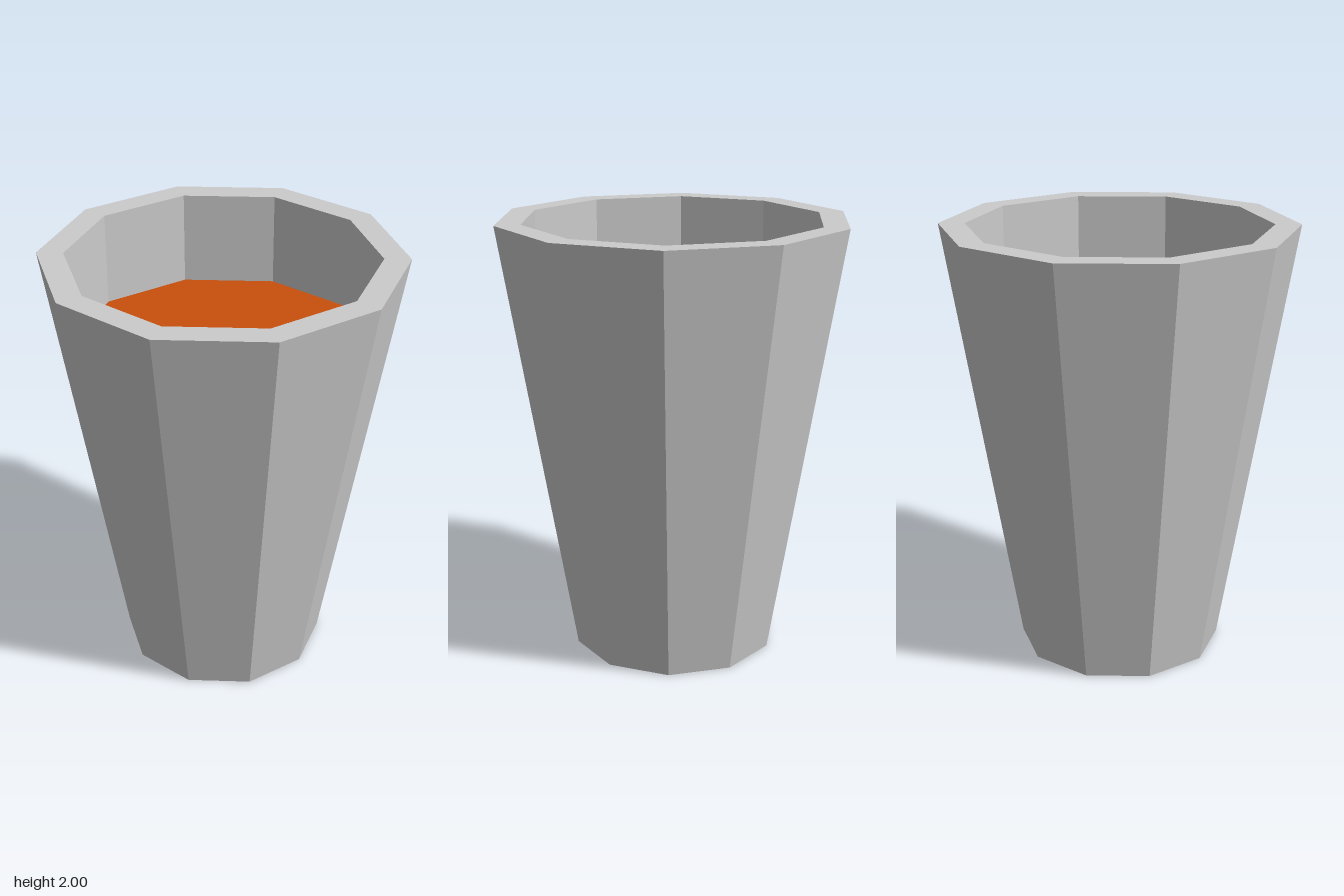
import * as THREE from 'three';

const SIDES = 10;

export function createModel() {
  const model = new THREE.Group();

  // Tapered ten-sided cup: base, outer wall, flat rim, straight inner wall
  const profile = [
    [0, 0], [0.47, 0], [0.8, 2], [0.683, 2], [0.683, 1.57],
  ].map(([r, y]) => new THREE.Vector2(r, y));
  const cup = new THREE.Mesh(
    new THREE.LatheGeometry(profile, SIDES),
    new THREE.MeshStandardMaterial({ color: 0xcccccc, flatShading: true }),
  );
  cup.name = 'cup';
  model.add(cup);

  // Flat surface of the contents, sitting below the rim
  const filling = new THREE.Mesh(
    new THREE.CircleGeometry(0.683, SIDES, Math.PI / 2).rotateX(-Math.PI / 2),
    new THREE.MeshStandardMaterial({ color: 0xc8500c }),
  );
  filling.name = 'filling';
  filling.position.y = 1.57;
  model.add(filling);

  return model;
}
